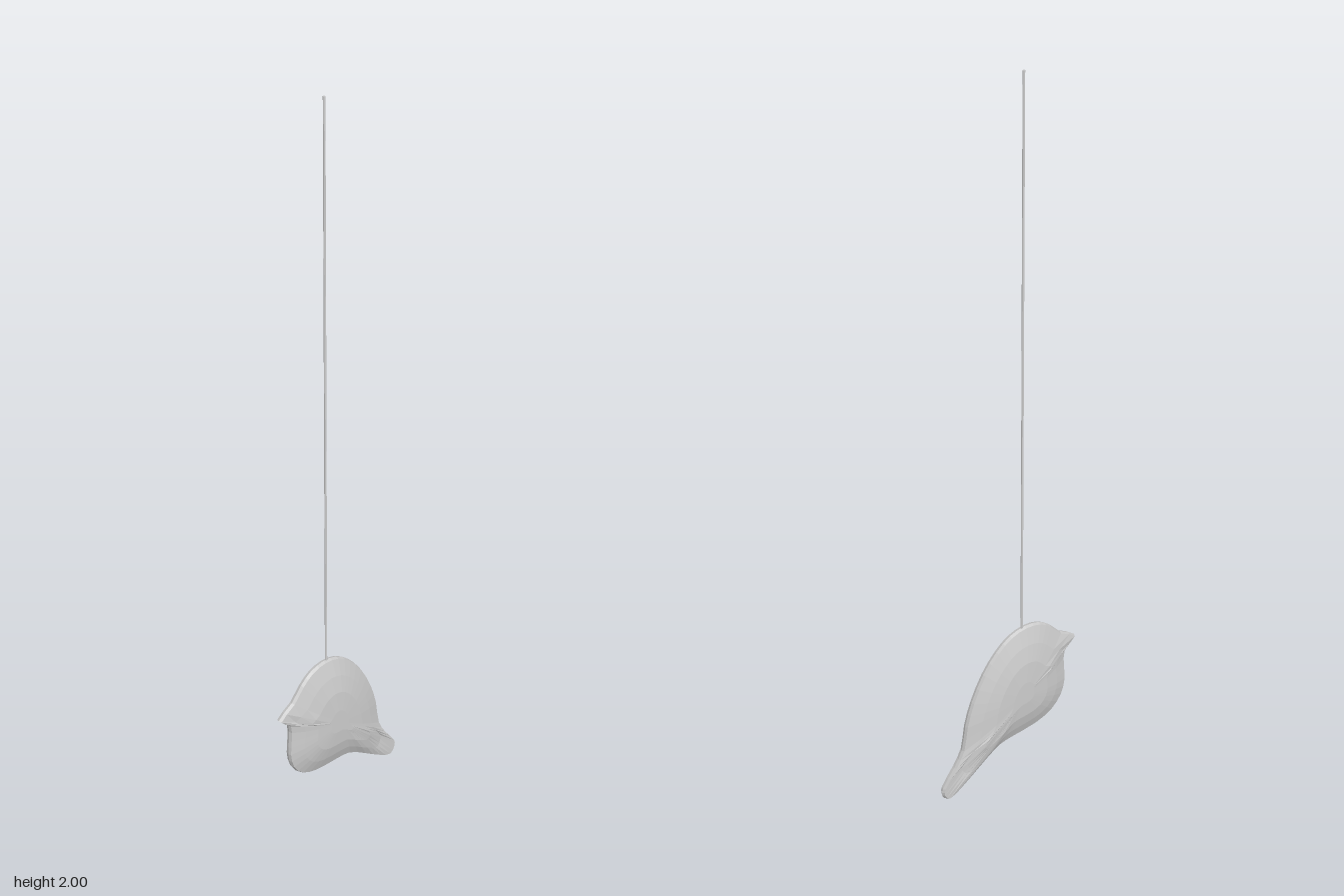
import * as THREE from 'three';

const RIM = 0.008;   // half thickness at the edge
const BULGE = 0.027; // extra half thickness at the belly
const CENTRE = new THREE.Vector2(-0.03, 0.26);

// Bird silhouette, clockwise from the beak tip
const OUTLINE = [
  [-0.215, 0.352], [-0.168, 0.383], [-0.135, 0.42], [-0.1, 0.445], [-0.055, 0.453],
  [-0.008, 0.442], [0.035, 0.41], [0.077, 0.357], [0.114, 0.283], [0.135, 0.214],
  [0.147, 0.14], [0.172, 0.093], [0.209, 0.04], [0.211, 0.02], [0.195, 0.001],
  [0.156, 0.02], [0.098, 0.061], [0.034, 0.103], [-0.01, 0.111], [-0.087, 0.119],
  [-0.14, 0.14], [-0.172, 0.178], [-0.183, 0.225], [-0.18, 0.27], [-0.182, 0.32],
];

// Domed on both faces, flattening out towards the beak and tail
function halfThickness(x, y, dome) {
  const cap = Math.min((0.15 - x) / 0.08, (x + 0.185) / 0.08, (y - 0.03) / 0.15);
  return RIM + BULGE * Math.min(dome, THREE.MathUtils.clamp(cap, 0, 1));
}

function birdGeometry() {
  const curve = new THREE.CatmullRomCurve3(
    OUTLINE.map(([x, y]) => new THREE.Vector3(x, y, 0)).reverse(), true, 'centripetal');
  const n = OUTLINE.length * 2;
  const edge = Array.from({ length: n }, (_, i) => curve.getPoint(i / n));

  // Rings as [scale about the centre, dome height], from the back over the rim to the front
  const face = [[0.2, 1], [0.5, 0.86], [0.75, 0.5], [0.985, 0]];
  const rings = [
    ...face.map(([s, d]) => [s, d, -1]),
    [1, 0, 0],
    ...face.slice().reverse().map(([s, d]) => [s, d, 1]),
  ];
  const positions = [];
  for (const [s, dome, side] of rings) {
    for (const p of edge) {
      const x = CENTRE.x + (p.x - CENTRE.x) * s;
      const y = CENTRE.y + (p.y - CENTRE.y) * s;
      positions.push(x, y, side * halfThickness(x, y, dome));
    }
  }
  const back = positions.length / 3, front = back + 1;
  for (const side of [-1, 1]) positions.push(CENTRE.x, CENTRE.y, side * (RIM + BULGE));

  const index = [];
  const last = (rings.length - 1) * n;
  for (let i = 0; i < n; i++) {
    const j = (i + 1) % n;
    for (let r = 0; r < rings.length - 1; r++) {
      const a = r * n + i, b = r * n + j;
      index.push(a, b, b + n, a, b + n, a + n);
    }
    index.push(back, j, i, front, last + i, last + j);
  }
  const indexed = new THREE.BufferGeometry();
  indexed.setAttribute('position', new THREE.Float32BufferAttribute(positions, 3));
  indexed.setIndex(index);
  const geometry = indexed.toNonIndexed();
  geometry.computeVertexNormals();
  return geometry;
}

export function createModel() {
  const group = new THREE.Group();
  group.name = 'hangingBird';
  const material = new THREE.MeshStandardMaterial({ color: 0xcccccc, flatShading: true });

  // Flat, softly bulging bird
  const bird = new THREE.Mesh(birdGeometry(), material);
  bird.name = 'bird';
  group.add(bird);

  // Hanging cord, its lower end set into the back
  const bottom = 0.44, top = 2;
  const cord = new THREE.Mesh(
    new THREE.CylinderGeometry(0.003, 0.003, top - bottom, 8), material);
  cord.position.set(-0.045, (top + bottom) / 2, 0);
  cord.name = 'cord';
  group.add(cord);

  return group;
}
